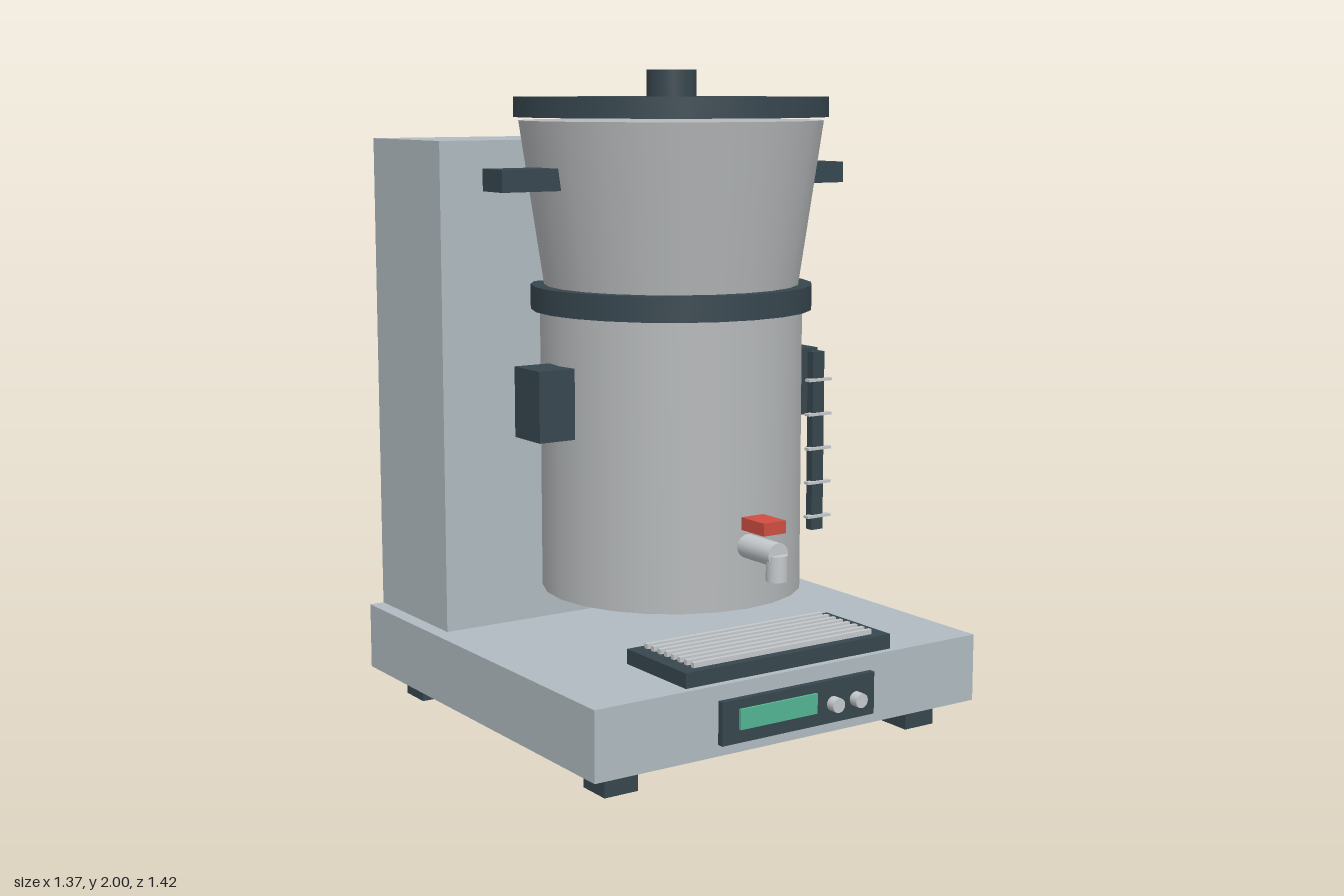
import * as THREE from 'three';

export function createModel() {
  const model = new THREE.Group();
  model.name = 'beverageUrn';

  const mat = (name, color) => {
    const m = new THREE.MeshStandardMaterial({ color });
    m.name = name;
    return m;
  };
  const casing = mat('casing grey', 0xb0bbc1);
  const steel = mat('brushed steel', 0xb6b9bb);
  const dark = mat('dark slate', 0x37474f);
  const red = mat('tap red', 0xd04e42);
  const green = mat('display green', 0x52b594);
  const chrome = mat('chrome', 0xc4c9cc);

  const add = (name, geometry, material, x, y, z) => {
    const mesh = new THREE.Mesh(geometry, material);
    mesh.name = name;
    mesh.position.set(x, y, z);
    model.add(mesh);
    return mesh;
  };
  // Box given by its extents along each axis
  const box = (name, material, [x0, x1], [y0, y1], [z0, z1]) =>
    add(name, new THREE.BoxGeometry(x1 - x0, y1 - y0, z1 - z0), material,
      (x0 + x1) / 2, (y0 + y1) / 2, (z0 + z1) / 2);
  // Upright cylinder or cone between two heights
  const drum = (name, material, rTop, rBottom, y0, y1, z, sides = 24) =>
    add(name, new THREE.CylinderGeometry(rTop, rBottom, y1 - y0, sides), material, 0, (y0 + y1) / 2, z);
  // Cylinder lying along z
  const rod = (name, material, r, x, y, z0, z1) => {
    const mesh = add(name, new THREE.CylinderGeometry(r, r, z1 - z0, 16), material, x, y, (z0 + z1) / 2);
    mesh.rotation.x = Math.PI / 2;
  };

  // Housing: base, rear tower and feet
  box('base', casing, [-0.685, 0.685], [0.083, 0.29], [-0.71, 0.66]);
  box('rearTower', casing, [-0.638, 0.638], [0.29, 1.79], [-0.71, -0.268]);
  for (const x of [-0.545, 0.545]) {
    for (const z of [-0.57, 0.52]) {
      box('foot', dark, [x - 0.055, x + 0.055], [0, 0.083], [z - 0.055, z + 0.055]);
    }
  }

  // Urn: body, collar, funnel, lid and knob
  const cz = 0.02;
  drum('urnBody', steel, 0.402, 0.402, 0.42, 1.285, cz);
  drum('collar', dark, 0.43, 0.43, 1.282, 1.357, cz);
  drum('funnel', steel, 0.462, 0.388, 1.35, 1.85, cz);
  drum('lid', dark, 0.477, 0.477, 1.86, 1.92, cz);
  drum('lidKnob', dark, 0.075, 0.075, 1.915, 2, cz);

  // Side handles, mirrored
  for (const s of [-1, 1]) {
    const span = (a, b) => (s > 0 ? [a, b] : [-b, -a]);
    box('funnelHandle', dark, span(0.42, 0.62), [1.65, 1.715], [-0.037, 0.077]);
    box('bodyHandle', dark, span(0.385, 0.513), [0.918, 1.13], [-0.052, 0.092]);
  }

  // Level gauge with five marks
  box('levelGauge', dark, [0.233, 0.275], [0.63, 1.17], [0.4, 0.427]);
  for (let i = 0; i < 5; i++) {
    const y = 0.672 + i * 0.1035;
    box('gaugeMark', chrome, [0.212, 0.297], [y - 0.004, y + 0.004], [0.415, 0.437]);
  }

  // Tap with spout and lever
  rod('tapPipe', chrome, 0.036, 0, 0.61, 0.4, 0.57);
  drum('tapSpout', chrome, 0.032, 0.032, 0.533, 0.61, 0.563, 16);
  box('tapLever', red, [-0.04, 0.04], [0.667, 0.705], [0.443, 0.553]);

  // Drip tray with grille bars
  box('dripTray', dark, [-0.37, 0.37], [0.29, 0.335], [0.335, 0.637]);
  for (let i = 0; i < 8; i++) {
    const z = 0.365 + i * 0.0337;
    box('trayBar', chrome, [-0.323, 0.323], [0.335, 0.35], [z - 0.007, z + 0.007]);
  }

  // Control panel with display and two buttons
  box('controlPanel', dark, [-0.275, 0.275], [0.117, 0.245], [0.66, 0.68]);
  box('display', green, [-0.217, 0.057], [0.157, 0.217], [0.68, 0.689]);
  for (const x of [0.12, 0.205]) rod('button', chrome, 0.022, x, 0.175, 0.679, 0.71);

  return model;
}
